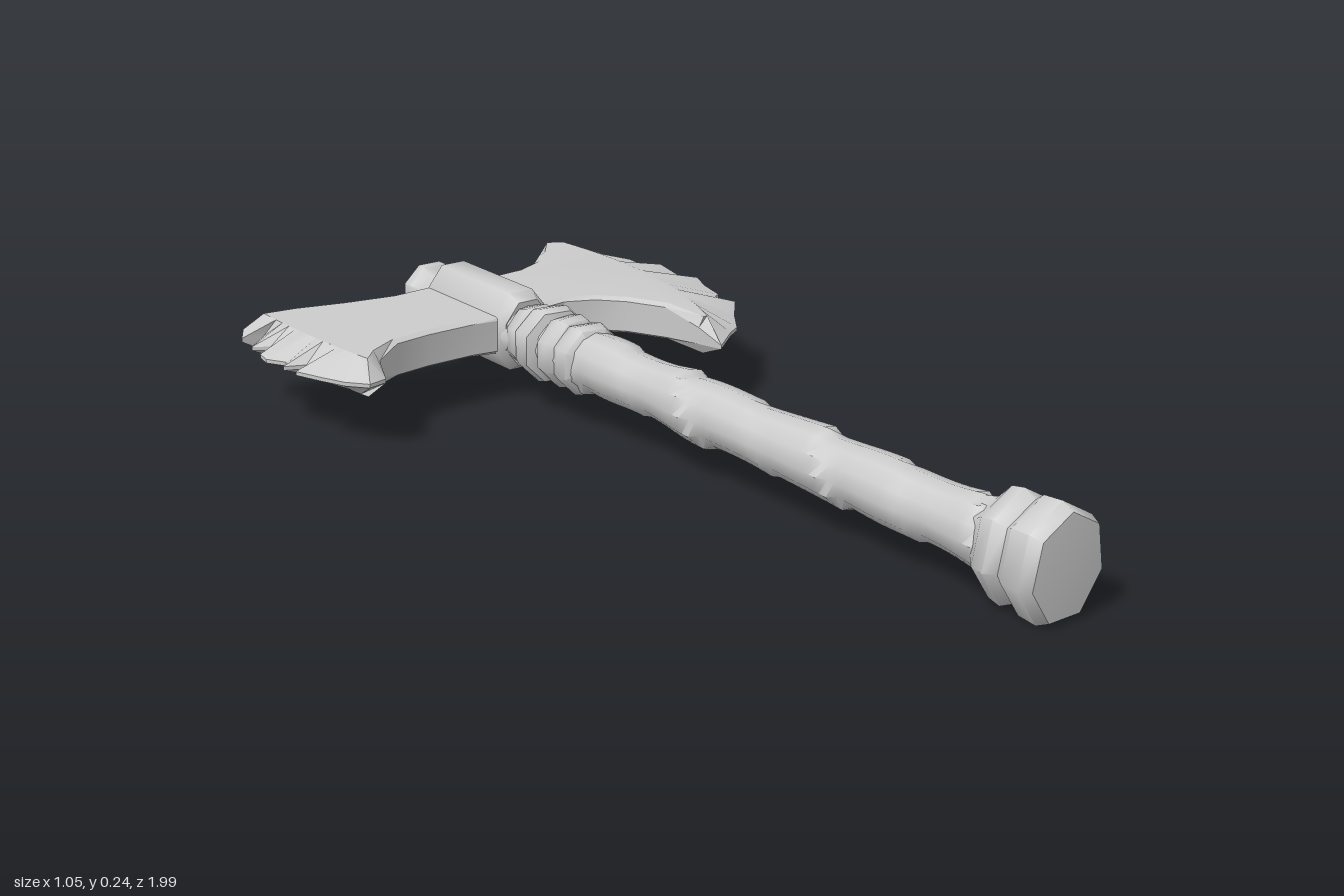
import * as THREE from 'three';
import { toCreasedNormals } from 'three/addons/utils/BufferGeometryUtils.js';

const TILT = 0.179; // handle turn within the plane of the blades
const PLATE = 0.04; // half thickness of the blades

// Turned part along the handle axis; points are [radius, position along axis]
function turned(points, sides, sx = 1, sy = 1, crease = 0.95) {
  const profile = points.map(([r, s]) => new THREE.Vector2(r, s));
  const geo = new THREE.LatheGeometry(profile, sides, Math.PI / sides);
  geo.rotateX(Math.PI / 2).scale(sx, sy, 1);
  return toCreasedNormals(geo, crease);
}

// Shaft whose rings carry uneven, stepped spiral wrapping
function wrappedShaft(from, to) {
  const rings = 72, sides = 12;
  const points = [];
  for (let i = 0; i <= rings; i++) points.push(new THREE.Vector2(0.06, from + (to - from) * i / rings));
  const geo = new THREE.LatheGeometry(points, sides);
  const p = geo.attributes.position;
  for (let i = 0; i < p.count; i++) {
    const x = p.getX(i), s = p.getY(i), z = p.getZ(i);
    const turn = s / 0.19 + Math.atan2(z, x) / (2 * Math.PI);
    const step = turn - Math.floor(turn);
    const height = 0.009 + 0.004 * Math.sin(s * 17);
    const k = (0.056 + height * step + 0.002 * Math.sin(s * 23)) / 0.06;
    p.setXYZ(i, x * k, s, z * k);
  }
  geo.rotateX(Math.PI / 2);
  return toCreasedNormals(geo, 0.85);
}

// Blade: outer outline, inset flat faces, and a wide bevel towards the jagged edge
function blade(upper, edge, lower, ridge) {
  const curve = new THREE.QuadraticBezierCurve(...ridge.map(([x, z]) => new THREE.Vector2(x, z)));
  const plain = ([x, z], nearTip) => ({ o: new THREE.Vector2(x, z), h: nearTip ? 0.018 : 0.033 });
  const pts = [
    ...upper.map((q, i) => plain(q, i === upper.length - 1)),
    ...edge.map(([x, z], i) => ({ o: new THREE.Vector2(x, z), h: 0.004, n: curve.getPoint(i / (edge.length - 1)) })),
    ...lower.map((q, i) => plain(q, i === 0)),
  ];
  if (THREE.ShapeUtils.area(pts.map((q) => q.o)) > 0) pts.reverse();
  const count = pts.length;
  pts.forEach((q, i) => {
    if (q.n) return;
    const d = pts[(i + 1) % count].o.clone().sub(pts[(i + count - 1) % count].o).normalize();
    q.n = new THREE.Vector2(q.o.x + d.y * 0.012, q.o.y - d.x * 0.012);
  });

  const pos = [];
  const tri = (...v) => v.forEach((c) => pos.push(...c));
  const quad = (a, b, c, d) => { tri(a, b, c); tri(a, c, d); };
  const outer = (q, s) => [q.o.x, s * q.h, q.o.y];
  const inner = (q, s) => [q.n.x, s * PLATE, q.n.y];
  pts.forEach((a, i) => {
    const b = pts[(i + 1) % count];
    quad(outer(a, 1), outer(b, 1), inner(b, 1), inner(a, 1));
    quad(inner(a, -1), inner(b, -1), outer(b, -1), outer(a, -1));
    quad(outer(a, -1), outer(b, -1), outer(b, 1), outer(a, 1));
  });
  const flat = pts.map((q) => q.n);
  for (const f of THREE.ShapeUtils.triangulateShape(flat, [])) {
    if (THREE.ShapeUtils.area(f.map((i) => flat[i])) > 0) f.reverse();
    const [a, b, c] = f.map((i) => pts[i]);
    tri(inner(a, 1), inner(b, 1), inner(c, 1));
    tri(inner(c, -1), inner(b, -1), inner(a, -1));
  }
  const geo = new THREE.BufferGeometry();
  geo.setAttribute('position', new THREE.Float32BufferAttribute(pos, 3));
  return toCreasedNormals(geo, 0.45);
}

export function createModel() {
  const steel = new THREE.MeshStandardMaterial({ color: 0xcccccc });
  steel.name = 'light grey';
  const model = new THREE.Group();
  model.name = 'battleAxe';
  const add = (parent, name, geo) => {
    const mesh = new THREE.Mesh(geo, steel);
    mesh.name = name;
    parent.add(mesh);
    return mesh;
  };

  // Whole axe lies with its head slightly raised
  const axe = new THREE.Group();
  axe.name = 'axe';
  axe.position.y = 0.137;
  axe.rotation.x = 0.03;
  model.add(axe);

  // Handle parts share one axis
  const handle = new THREE.Group();
  handle.name = 'handle';
  handle.position.x = 0.107;
  handle.rotation.y = TILT;
  axe.add(handle);

  add(handle, 'wrappedShaft', wrappedShaft(-0.5, 0.86));

  // Seven-sided pommel with a groove around it
  add(handle, 'pommel', turned([
    [0.058, 0.8], [0.066, 0.835], [0.092, 0.862], [0.097, 0.89], [0.085, 0.915],
    [0.098, 0.932], [0.101, 0.972], [0.09, 0.996], [0, 1.002],
  ], 7, 0.95, 1.1));

  // Stacked collars below the head, each leaning a little
  [[-0.46, 0.07, 0.1], [-0.405, 0.084, -0.14], [-0.345, 0.078, 0.12], [-0.285, 0.078, -0.1]].forEach(([s, r, lean], i) => {
    const collar = add(handle, 'collar' + (i + 1), turned([
      [0.05, -0.036], [r - 0.008, -0.028], [r, 0], [r - 0.006, 0.022], [0.05, 0.032],
    ], 8));
    collar.position.z = s;
    collar.rotation.y = lean;
  });

  // Eight-sided socket that holds the blades
  add(handle, 'socket', turned([
    [0, -0.782], [0.072, -0.782], [0.088, -0.765], [0.088, -0.515], [0.072, -0.49], [0, -0.49],
  ], 8, 0.84, 1.03));

  add(handle, 'topKnob', turned([
    [0, -0.872], [0.05, -0.872], [0.069, -0.858], [0.069, -0.838], [0.052, -0.82], [0.047, -0.79], [0.056, -0.765],
  ], 8, 1, 0.95));

  // Large crescent blade
  add(axe, 'crescentBlade', blade(
    [[-0.02, -0.75], [0.06, -0.765], [0.14, -0.785], [0.2, -0.825], [0.24, -0.88], [0.28, -0.95]],
    [[0.33, -1], [0.36, -0.965], [0.42, -0.915], [0.43, -0.885], [0.455, -0.85], [0.46, -0.81], [0.5, -0.785],
      [0.495, -0.69], [0.525, -0.66], [0.51, -0.6], [0.505, -0.53], [0.49, -0.52], [0.512, -0.47], [0.46, -0.385],
      [0.425, -0.315], [0.395, -0.29], [0.335, -0.225]],
    [[0.33, -0.31], [0.31, -0.42], [0.255, -0.49], [0.2, -0.53], [0.135, -0.545], [0.085, -0.53], [0.02, -0.5]],
    [[0.325, -0.93], [0.425, -0.62], [0.352, -0.315]],
  ));

  // Smaller bearded blade
  add(axe, 'beardedBlade', blade(
    [[0, -0.765], [-0.08, -0.755], [-0.18, -0.73], [-0.29, -0.73], [-0.4, -0.738]],
    [[-0.508, -0.745], [-0.53, -0.69], [-0.485, -0.685], [-0.53, -0.63], [-0.495, -0.615], [-0.53, -0.58],
      [-0.53, -0.545], [-0.5, -0.51], [-0.515, -0.488], [-0.47, -0.478], [-0.468, -0.465], [-0.503, -0.45],
      [-0.47, -0.395], [-0.44, -0.35], [-0.4, -0.317], [-0.36, -0.333]],
    [[-0.345, -0.4], [-0.29, -0.442], [-0.21, -0.467], [-0.105, -0.487], [0, -0.49]],
    [[-0.47, -0.722], [-0.44, -0.53], [-0.385, -0.365]],
  ));

  return model;
}
